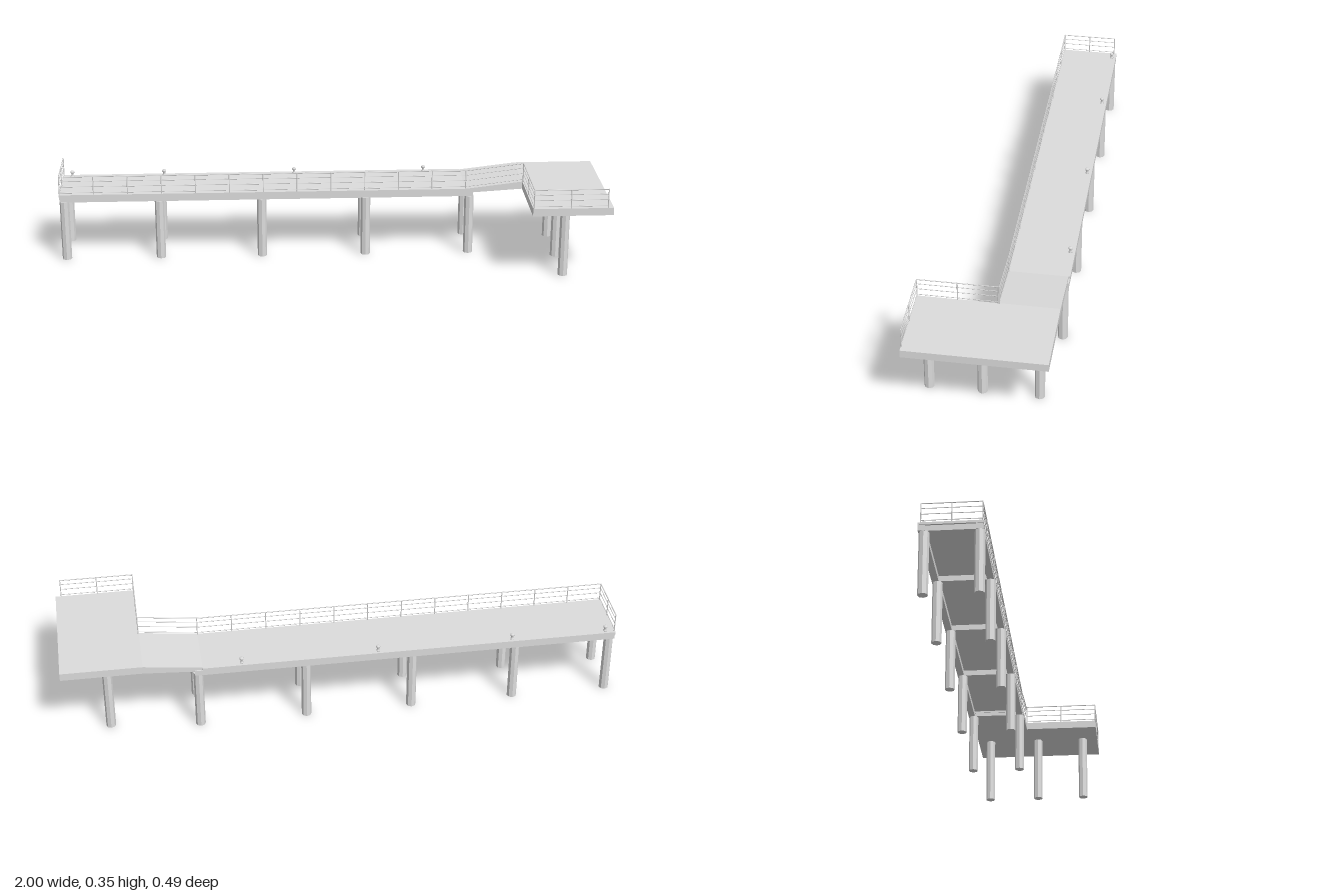
import * as THREE from 'three';

export function createModel() {
  const pier = new THREE.Group();
  pier.name = 'pier';
  const paleGrey = new THREE.MeshStandardMaterial({ color: 0xdcdcdc });
  paleGrey.name = 'pale grey';

  const add = (parent, name, geometry) => {
    const mesh = new THREE.Mesh(geometry, paleGrey);
    mesh.name = name;
    parent.add(mesh);
    return mesh;
  };
  // Box given by its lower and upper limits on each axis
  const block = (name, [x0, x1], [y0, y1], [z0, z1]) =>
    add(pier, name, new THREE.BoxGeometry(x1 - x0, y1 - y0, z1 - z0))
      .position.set((x0 + x1) / 2, (y0 + y1) / 2, (z0 + z1) / 2);

  // Levels and plan lines
  const LOW = 0.256, HIGH = 0.281, DECK_BOTTOM = 0.247, HIGH_BOTTOM = 0.253;
  const BEAM_BOTTOM = 0.227, FRONT = -0.032, BACK = -0.247;
  const RAMP_START = 0.5, RAMP_END = 0.71;

  // Walkway, ramp and raised platform
  block('walkwayDeck', [-1, RAMP_START], [DECK_BOTTOM, LOW], [BACK, FRONT]);
  block('platformDeck', [RAMP_END, 1], [HIGH_BOTTOM, HIGH], [-0.241, 0.247]);
  const rampSide = new THREE.Shape([
    new THREE.Vector2(RAMP_START, 0.24), new THREE.Vector2(RAMP_END, HIGH_BOTTOM),
    new THREE.Vector2(RAMP_END, HIGH), new THREE.Vector2(RAMP_START, LOW),
  ]);
  const rampGeometry = new THREE.ExtrudeGeometry(rampSide, { depth: 0.209, bevelEnabled: false });
  add(pier, 'rampDeck', rampGeometry).position.z = -0.241;

  // Octagonal piles, with a cross beam over each walkway pair
  const pile = (name, x, z, height) => {
    const geometry = new THREE.CylinderGeometry(0.0175, 0.0175, height, 8).toNonIndexed();
    geometry.computeVertexNormals();
    add(pier, name, geometry).position.set(x, height / 2, z);
  };
  for (const x of [-0.981, -0.632, -0.255, 0.13, 0.515]) {
    for (const z of [-0.045, -0.227]) pile('walkwayPile', x, z, BEAM_BOTTOM);
    block('crossBeam', [x - 0.0125, x + 0.0125], [BEAM_BOTTOM, DECK_BOTTOM], [-0.222, -0.057]);
  }
  for (const z of [0.187, 0.004, -0.191]) pile('platformPile', 0.836, z, HIGH_BOTTOM);

  // Edge beams under the walkway
  for (const [name, z0, z1] of [['frontBeam', -0.057, -0.033], ['backBeam', -0.246, -0.222]]) {
    block(name, [-0.998, 0.5275], [BEAM_BOTTOM, DECK_BOTTOM], [z0, z1]);
  }

  // Railing: round bars between two points
  const railings = new THREE.Group();
  railings.name = 'railings';
  pier.add(railings);
  const bar = (name, a, b, radius) => {
    const direction = b.clone().sub(a);
    const mesh = add(railings, name,
      new THREE.CylinderGeometry(radius, radius, direction.length(), 6));
    mesh.position.copy(a).add(b).multiplyScalar(0.5);
    mesh.quaternion.setFromUnitVectors(new THREE.Vector3(0, 1, 0), direction.normalize());
  };
  const rise = (p, h) => new THREE.Vector3(p.x, p.y + h, p.z);
  const RAIL_HEIGHTS = [0.008, 0.0315, 0.0525, 0.0705];
  const railing = (from, to, bays) => {
    const a = new THREE.Vector3(...from), b = new THREE.Vector3(...to);
    RAIL_HEIGHTS.forEach((h, i) =>
      bar(i === 3 ? 'handrail' : 'midRail', rise(a, h), rise(b, h), i === 3 ? 0.0018 : 0.0013));
    for (let i = 0; i <= bays; i++) {
      const foot = a.clone().lerp(b, i / bays);
      bar('railingPost', foot, rise(foot, 0.0715), 0.0019);
    }
  };
  const Z = -0.035;
  railing([-0.997, LOW, -0.237], [-0.997, LOW, Z], 2);
  railing([-0.997, LOW, Z], [RAMP_START, LOW, Z], 12);
  railing([RAMP_START, LOW, Z], [0.713, HIGH, Z], 1);
  railing([0.713, HIGH, -0.031], [0.713, HIGH, 0.245], 2);
  railing([0.713, HIGH, 0.245], [0.979, HIGH, 0.245], 2);

  // Mooring bollards along the back edge
  const profile = [[0, 0], [0.007, 0], [0.007, 0.002], [0.0042, 0.004], [0.0042, 0.012],
    [0.0075, 0.015], [0.0075, 0.019], [0.005, 0.022], [0, 0.022]]
    .map(([r, y]) => new THREE.Vector2(r, y));
  const bollardGeometry = new THREE.LatheGeometry(profile, 12);
  for (const x of [-0.965, -0.62, -0.13, 0.36]) {
    add(pier, 'bollard', bollardGeometry).position.set(x, LOW, -0.23);
  }
  return pier;
}
